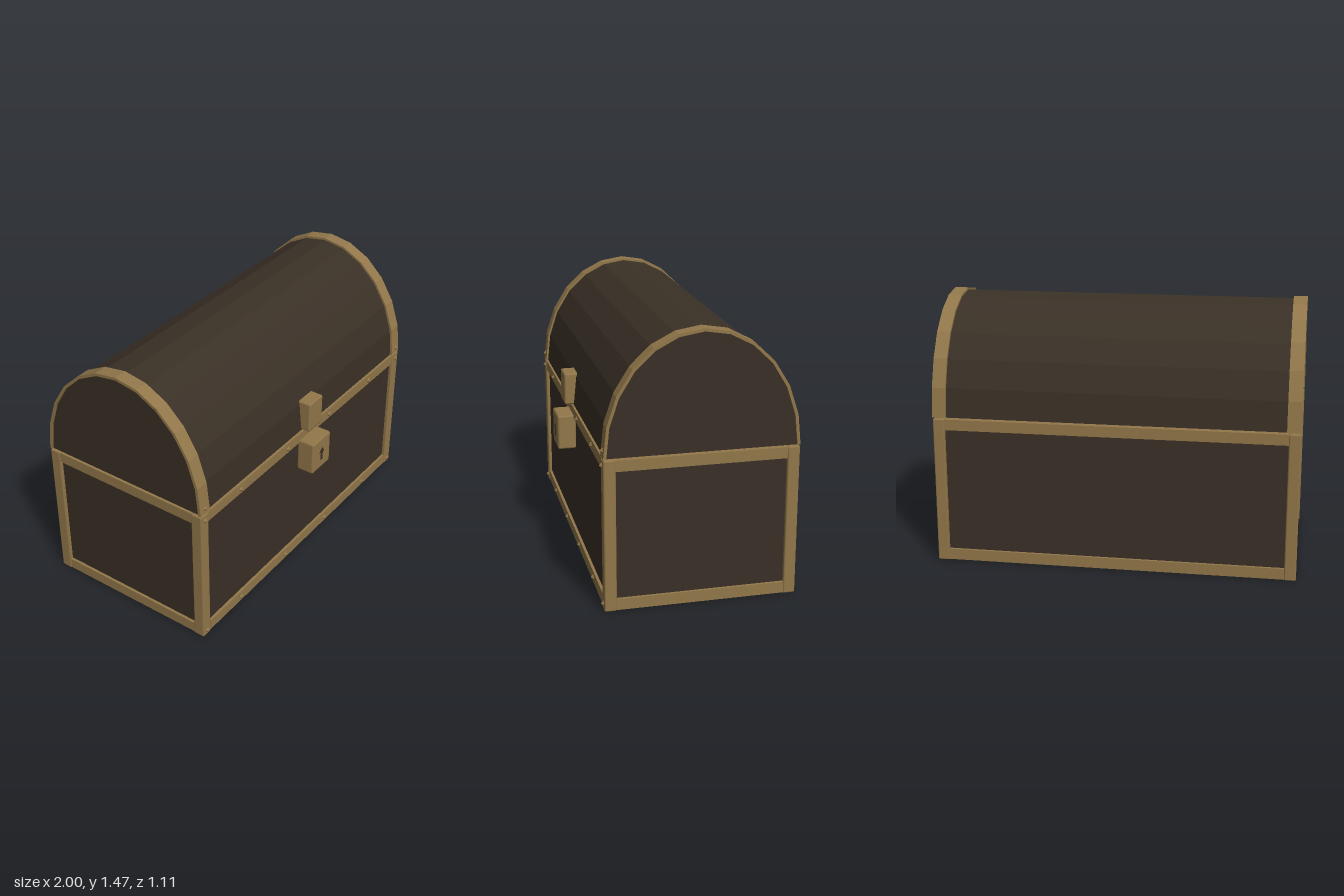
import * as THREE from 'three';
import { RoundedBoxGeometry } from 'three/addons/geometries/RoundedBoxGeometry.js';

export function createModel() {
  const chest = new THREE.Group();
  chest.name = 'treasureChest';
  const brass = new THREE.MeshStandardMaterial({ color: 0x92774a });
  brass.name = 'brass';
  const wood = new THREE.MeshStandardMaterial({ color: 0x3a3026 });
  wood.name = 'darkWood';

  const CZ = -0.043; // middle of the chest body, since the lock juts forward

  function add(name, geometry, material, x = 0, y = 0, z = 0) {
    const mesh = new THREE.Mesh(geometry, material);
    mesh.name = name;
    mesh.position.set(x, y, z);
    chest.add(mesh);
    return mesh;
  }

  // Box given by its limits, with a small bevel when asked for
  function block(name, material, [x0, x1], [y0, y1], [z0, z1], bevel = 0) {
    const size = [x1 - x0, y1 - y0, z1 - z0];
    const geometry = bevel
      ? new RoundedBoxGeometry(...size, 1, bevel)
      : new THREE.BoxGeometry(...size);
    return add(name, geometry, material, (x0 + x1) / 2, (y0 + y1) / 2, (z0 + z1) / 2);
  }

  // Body, slightly sunk behind its frame
  block('body', wood, [-0.98, 0.98], [0.012, 0.81], [CZ - 0.492, CZ + 0.492]);

  // Corner posts
  for (const sx of [-1, 1]) {
    for (const sz of [-1, 1]) {
      const post = new RoundedBoxGeometry(0.065, 0.823, 0.065, 1, 0.008);
      add('cornerPost', post, brass, sx * 0.9675, 0.4115, CZ + sz * 0.48);
    }
  }

  // Rails along the top and bottom of all four sides
  for (const [y0, y1] of [[0.004, 0.066], [0.76, 0.82]]) {
    for (const s of [-1, 1]) {
      const long = new THREE.BoxGeometry(1.88, y1 - y0, 0.04);
      add('longRail', long, brass, 0, (y0 + y1) / 2, CZ + s * 0.487);
      const short = new THREE.BoxGeometry(0.04, y1 - y0, 0.91);
      add('sideRail', short, brass, s * 0.975, (y0 + y1) / 2, CZ);
    }
  }

  // Half ellipse in twelve straight steps
  function arch(inset) {
    const points = [];
    for (let i = 0; i <= 12; i++) {
      const a = (i / 12) * Math.PI;
      points.push(new THREE.Vector2(Math.cos(a) * (0.512 - inset), Math.sin(a) * (0.637 - inset)));
    }
    return points;
  }

  // Extrudes an outline along x, centred on its own middle
  function alongX(points, length) {
    const geometry = new THREE.ExtrudeGeometry(new THREE.Shape(points), { depth: length, bevelEnabled: false });
    return geometry.translate(0, 0, -length / 2).rotateY(Math.PI / 2);
  }

  // Barrel lid and the bands around its ends
  add('lid', alongX(arch(0.012), 1.98), wood, 0, 0.83, CZ);
  const bandOutline = [...arch(0), ...arch(0.016).reverse()];
  for (const s of [-1, 1]) {
    add('lidBand', alongX(bandOutline, 0.076), brass, s * 0.962, 0.83, CZ);
  }

  // Studs on the front
  function stud(x, y, z) {
    add('stud', new THREE.OctahedronGeometry(0.018), brass, x, y, z).scale.z = 0.7;
  }
  for (const s of [-1, 1]) {
    for (const y of [0.035, 0.79]) {
      for (const x of [0.21, 0.65, 0.965]) stud(s * x, y, x > 0.9 ? 0.471 : 0.466);
    }
    stud(s * 0.963, 0.866, 0.468);
  }

  // Hasp and lock
  block('hasp', brass, [-0.066, 0.066], [0.832, 1.012], [0.42, 0.508], 0.01);
  block('lock', brass, [-0.09, 0.09], [0.575, 0.775], [0.45, 0.555], 0.012);

  // Keyhole, a thin plate with a pointed head
  const keyhole = new THREE.Shape([
    [-0.009, -0.042], [0.009, -0.042], [0.009, 0.008], [0.025, 0.008],
    [0, 0.042], [-0.025, 0.008], [-0.009, 0.008],
  ].map(([x, y]) => new THREE.Vector2(x, y)));
  add('keyhole', new THREE.ExtrudeGeometry(keyhole, { depth: 0.004, bevelEnabled: false }), wood, 0, 0.673, 0.553);

  return chest;
}
